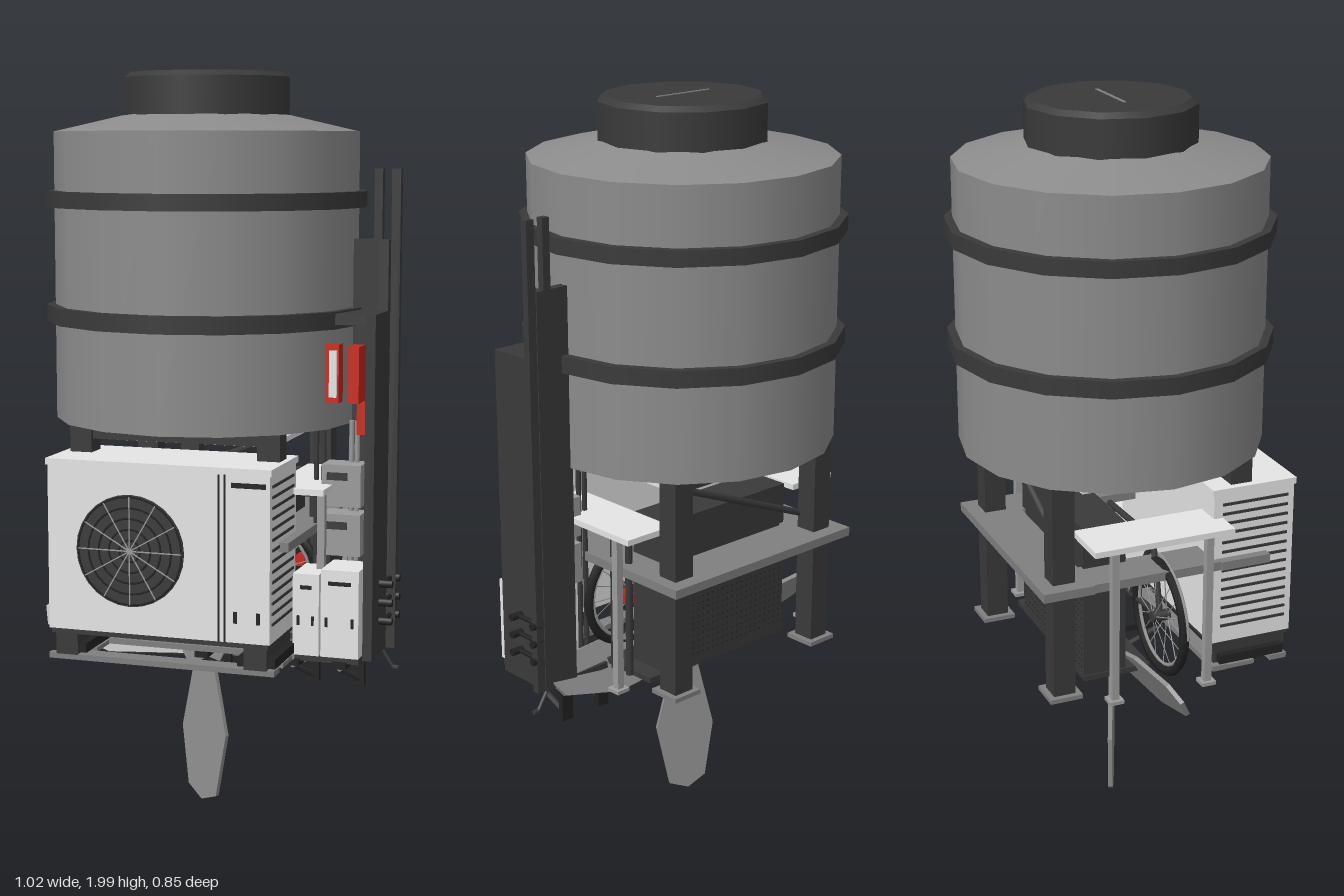
import * as THREE from 'three';

const colours = {
  tankGrey: 0x8c8c8c, darkSteel: 0x3a3a3a, black: 0x222222, casing: 0xe6e6e6,
  beamGrey: 0x808080, boxGrey: 0x9c9c9c, red: 0xc8281c, bladeGrey: 0x909090,
};
const M = {};

export function createModel() {
  for (const [name, color] of Object.entries(colours)) {
    M[name] = new THREE.MeshStandardMaterial({ color });
    M[name].name = name;
  }
  const root = new THREE.Group();
  root.name = 'waterTankUnit';

  const add = (name, geo, mat, x = 0, y = 0, z = 0, parent = root) => {
    const m = new THREE.Mesh(geo, mat);
    m.name = name;
    m.position.set(x, y, z);
    parent.add(m);
    return m;
  };
  // Box given by its extents
  const box = (name, mat, x0, x1, y0, y1, z0, z1) => add(name,
    new THREE.BoxGeometry(x1 - x0, y1 - y0, z1 - z0), mat, (x0 + x1) / 2, (y0 + y1) / 2, (z0 + z1) / 2);
  // Round rod between two points
  const rod = (name, mat, a, b, r, parent = root, sides = 6) => {
    const p = new THREE.Vector3(...a), q = new THREE.Vector3(...b), d = q.clone().sub(p);
    const m = add(name, new THREE.CylinderGeometry(r, r, d.length(), sides), mat, 0, 0, 0, parent);
    m.position.copy(p).add(q).multiplyScalar(0.5);
    m.quaternion.setFromUnitVectors(new THREE.Vector3(0, 1, 0), d.normalize());
    return m;
  };

  // Tank with sloped shoulder, bands and lid
  const cx = -0.025;
  const cyl = (name, mat, r0, r1, y0, y1, sides) =>
    add(name, new THREE.CylinderGeometry(r1, r0, y1 - y0, sides), mat, cx, (y0 + y1) / 2, 0);
  cyl('tankBody', M.tankGrey, 0.405, 0.405, 1.09, 1.845, 16);
  cyl('tankShoulder', M.tankGrey, 0.405, 0.21, 1.845, 1.89, 16);
  cyl('lowerBand', M.darkSteel, 0.427, 0.427, 1.348, 1.393, 16);
  cyl('upperBand', M.darkSteel, 0.427, 0.427, 1.65, 1.692, 16);
  cyl('lid', M.darkSteel, 0.222, 0.222, 1.885, 1.985, 12);
  cyl('lidTop', M.darkSteel, 0.222, 0.205, 1.985, 1.998, 12);
  box('lidHandle', M.beamGrey, -0.115, 0.065, 1.995, 2.0, -0.004, 0.004);

  // Tank legs, feet and shelf ring
  for (const x of [-0.28, 0.23]) for (const z of [-0.25, 0.25]) {
    box('tankLeg', M.darkSteel, x - 0.03, x + 0.03, 0.5, 1.09, z - 0.03, z + 0.03);
    box('legFoot', M.beamGrey, x - 0.045, x + 0.045, 0.49, 0.502, z - 0.045, z + 0.045);
  }
  for (const s of [-1, 1]) {
    box('ringBeam', M.beamGrey, -0.35, 0.295, 0.798, 0.822, s > 0 ? 0.18 : -0.32, s > 0 ? 0.32 : -0.18);
    box('ringSideBeam', M.beamGrey, cx + s * 0.262 - 0.058, cx + s * 0.262 + 0.058, 0.798, 0.822, -0.32, 0.32);
    box('topBeam', M.darkSteel, -0.28, 0.23, 1.055, 1.09, s * 0.25 - 0.02, s * 0.25 + 0.02);
  }
  rod('legBrace', M.darkSteel, [-0.26, 0.86, -0.22], [0.21, 1.05, -0.22], 0.01);
  box('centrePost', M.darkSteel, -0.05, 0, 0.95, 1.09, 0.1, 0.15);

  // Outdoor cooling unit
  box('coolerCase', M.casing, -0.325, 0.27, 0.575, 1.005, 0.165, 0.398);
  box('coolerTop', M.casing, -0.33, 0.275, 1.003, 1.02, 0.16, 0.402);
  box('coolerBase', M.darkSteel, -0.32, 0.265, 0.562, 0.576, 0.17, 0.395);
  for (const x of [0.134, 0.15]) box('coolerSeam', M.black, x, x + 0.005, 0.575, 1.003, 0.39, 0.4);
  box('coolerLabel', M.black, 0.17, 0.26, 0.97, 0.983, 0.392, 0.4);
  for (const x of [0.175, 0.235]) box('coolerLatch', M.black, x, x + 0.01, 0.625, 0.655, 0.392, 0.4);
  for (const x of [-0.31, 0.2]) {
    box('coolerFoot', M.darkSteel, x, x + 0.06, 0.505, 0.565, 0.18, 0.39);
    box('coolerRail', M.black, x - 0.02, x + 0.08, 0.51, 0.535, 0.19, 0.38);
  }
  for (let i = 0; i < 14; i++) {
    const y = 0.62 + i * 0.027;
    box('rightLouvre', M.darkSteel, 0.265, 0.273, y, y + 0.007, 0.19, 0.38);
    box('leftLouvre', M.darkSteel, -0.329, -0.32, y, y + 0.007, 0.19, 0.38);
  }

  // Round fan grille
  const fan = new THREE.Group();
  fan.name = 'fanGrille';
  fan.position.set(-0.1, 0.792, 0.4);
  root.add(fan);
  add('fanDisc', new THREE.CylinderGeometry(0.145, 0.145, 0.008, 28), M.darkSteel, 0, 0, -0.001, fan).rotation.x = Math.PI / 2;
  for (let i = 1; i <= 5; i++)
    add('fanRing', new THREE.TorusGeometry(0.028 * i, 0.0025, 4, 28), M.black, 0, 0, 0.003, fan);
  for (let i = 0; i < 6; i++)
    add('fanSpoke', new THREE.BoxGeometry(0.28, 0.003, 0.003), M.boxGrey, 0, 0, 0.004, fan).rotation.z = i * Math.PI / 6;

  // Ground rails and floors
  box('frontRail', M.beamGrey, -0.33, 0.28, 0.492, 0.507, 0.34, 0.39);
  box('backRail', M.beamGrey, -0.33, 0.28, 0.492, 0.507, 0.17, 0.21);
  box('sideFloor', M.darkSteel, 0.26, 0.45, 0.488, 0.505, -0.01, 0.2);
  box('middleFloor', M.darkSteel, -0.25, 0.25, 0.495, 0.51, -0.17, 0.02);

  // Condenser box behind, with perforated rear face
  box('condenserBox', M.darkSteel, -0.245, 0.2, 0.51, 0.935, -0.17, -0.05);
  const dots = new THREE.InstancedMesh(new THREE.BoxGeometry(0.004, 0.004, 0.002), M.black, 24 * 13);
  dots.name = 'perforations';
  const mat = new THREE.Matrix4();
  for (let i = 0; i < 24; i++) for (let j = 0; j < 13; j++)
    dots.setMatrixAt(i * 13 + j, mat.makeTranslation(-0.23 + i * 0.018, 0.53 + j * 0.018, -0.17));
  root.add(dots);

  // Light side tables over the wheels
  box('leftTable', M.casing, -0.4, -0.25, 0.922, 0.938, -0.2, 0.19);
  box('rightTable', M.casing, 0.2, 0.35, 0.922, 0.938, -0.2, 0.19);
  box('upperShelf', M.casing, -0.24, 0.2, 1.03, 1.045, -0.17, 0.12);
  for (const x of [-0.37, 0.33]) for (const z of [-0.135, 0.13]) {
    box('tablePost', M.boxGrey, x - 0.01, x + 0.01, 0.49, 0.925, z - 0.01, z + 0.01);
    box('postFoot', M.boxGrey, x - 0.02, x + 0.02, 0.488, 0.498, z - 0.02, z + 0.02);
  }

  // Spoked cycle wheels with mudguards
  for (const x of [-0.29, 0.14]) {
    const wheel = new THREE.Group();
    wheel.name = 'wheel';
    wheel.position.set(x, 0.67, 0.03);
    root.add(wheel);
    add('tyre', new THREE.TorusGeometry(0.15, 0.013, 6, 28), M.black, 0, 0, 0, wheel);
    add('rim', new THREE.TorusGeometry(0.133, 0.005, 4, 28), M.boxGrey, 0, 0, 0, wheel);
    add('hub', new THREE.CylinderGeometry(0.016, 0.016, 0.05, 8), M.darkSteel, 0, 0, 0, wheel).rotation.x = Math.PI / 2;
    for (let i = 0; i < 18; i++) {
      const a = i * Math.PI / 9;
      rod('spoke', M.boxGrey, [0, 0, i % 2 ? 0.02 : -0.02], [0.133 * Math.cos(a), 0.133 * Math.sin(a), 0], 0.0015, wheel, 4);
    }
    add('mudguard', new THREE.TorusGeometry(0.175, 0.004, 4, 16, 1.6), M.boxGrey, 0, 0, 0, wheel).rotation.z = 1.5;
  }
  for (const [a, b] of [[[-0.29, 0.67], [-0.1, 0.65]], [[-0.1, 0.65], [0.14, 0.67]], [[-0.24, 0.87], [-0.1, 0.65]],
    [[-0.24, 0.87], [0.05, 0.86]], [[0.05, 0.86], [-0.1, 0.65]], [[-0.29, 0.67], [-0.24, 0.87]]])
    rod('cycleFrame', M.darkSteel, [...a, 0.03], [...b, 0.03], 0.009);

  // Service cabinet: back plate, side plate, hood and masts
  box('cabinetBack', M.darkSteel, 0.37, 0.475, 0.49, 1.57, -0.012, 0.012);
  box('cabinetLip', M.darkSteel, 0.45, 0.475, 1.38, 1.57, -0.012, 0.03);
  box('cabinetSide', M.darkSteel, 0.45, 0.475, 0.49, 1.385, 0, 0.163);
  box('cabinetHood', M.darkSteel, 0.36, 0.475, 1.36, 1.388, 0, 0.163);
  box('mast', M.darkSteel, 0.476, 0.5, 0.49, 1.75, -0.01, 0.01);
  box('innerMast', M.darkSteel, 0.43, 0.452, 0.49, 1.75, -0.012, 0.008);
  for (const y of [0.58, 0.63, 0.68]) {
    rod('mastPeg', M.black, [0.485, y, -0.01], [0.485, y, 0.09], 0.007);
    for (const z of [0, 0.085])
      add('pegDisc', new THREE.CylinderGeometry(0.01, 0.01, 0.04, 8), M.black, 0.49, y, z).rotation.z = Math.PI / 2;
  }
  rod('hookArm', M.darkSteel, [0.46, 0.49, 0], [0.495, 0.435, 0], 0.005);
  rod('hookTip', M.darkSteel, [0.495, 0.435, 0], [0.51, 0.435, 0], 0.007);

  // Red and light control boxes near the cabinet mouth
  box('redPanel', M.red, 0.345, 0.38, 1.16, 1.31, 0.12, 0.162);
  box('lightPanel', M.casing, 0.356, 0.376, 1.175, 1.295, 0.15, 0.17);
  box('redCase', M.red, 0.402, 0.432, 1.16, 1.305, 0.09, 0.16);
  box('redLowerCase', M.red, 0.41, 0.437, 1.07, 1.15, 0.02, 0.09);
  box('redValve', M.red, 0.215, 0.24, 0.685, 0.715, -0.07, -0.03);

  // Meter boxes and pipes
  for (const [y0, y1] of [[0.75, 0.86], [0.88, 0.99]]) {
    box('meterBox', M.boxGrey, 0.32, 0.425, y0, y1, 0.02, 0.1);
    box('meterWindow', M.darkSteel, 0.335, 0.39, y1 - 0.04, y1 - 0.02, 0.095, 0.103);
  }
  for (const x of [0.29, 0.31]) rod('darkPipe', M.darkSteel, [x, 0.5, 0.04], [x, 1.1, 0.04], 0.007);
  for (const x of [0.385, 0.4]) rod('lightPipe', M.boxGrey, [x, 0.5, 0.04], [x, 1.1, 0.04], 0.007);
  for (const z of [-0.04, -0.1]) rod('rearPipe', M.darkSteel, [0.26, 0.5, z], [0.26, 0.92, z], 0.01);

  // Low white cabinets
  for (const [x0, x1, y1] of [[0.275, 0.345, 0.72], [0.35, 0.45, 0.735]]) {
    box('lowCabinet', M.casing, x0, x1, 0.505, y1, 0.08, 0.208);
    box('cabinetVent', M.black, x0 + 0.02, x1 - 0.02, y1 - 0.04, y1 - 0.03, 0.203, 0.211);
    for (const x of [x0 + 0.012, x1 - 0.02]) box('cabinetLatch', M.black, x, x + 0.007, 0.585, 0.61, 0.203, 0.211);
  }

  // Triangular brackets under the floor
  for (const x of [0.025, 0.275, 0.4]) {
    box('bracketPost', M.black, x - 0.018, x + 0.018, 0.38, 0.49, -0.008, 0.008);
    box('bracketArm', M.black, x - 0.018, x + 0.018, 0.475, 0.493, 0, 0.21);
    rod('bracketStrut', M.darkSteel, [x, 0.395, 0], [x, 0.475, 0.2], 0.008);
  }

  // Three-bladed propeller
  const prop = new THREE.Group();
  prop.name = 'propeller';
  prop.position.set(-0.033, 0.45, 0);
  root.add(prop);
  const outline = [[-0.03, 0], [-0.04, -0.06], [-0.083, -0.24], [-0.06, -0.405], [-0.01, -0.44],
    [0.045, -0.42], [0.083, -0.24], [0.04, -0.06], [0.03, 0]];
  const blade = new THREE.ExtrudeGeometry(new THREE.Shape(outline.map(p => new THREE.Vector2(...p))),
    { depth: 0.012, bevelEnabled: false }).translate(0, 0, -0.006).rotateY(-0.45);
  for (const [a, len] of [[0, 1], [-1.71, 1.09], [1.71, 1.12]]) {
    const b = add('blade', blade, M.bladeGrey, 0, 0, 0, prop);
    b.rotation.z = a;
    b.scale.set(a ? 0.9 : 1, len, 1);
  }
  add('propellerHub', new THREE.CylinderGeometry(0.06, 0.06, 0.045, 14), M.bladeGrey, 0, 0, 0, prop).rotation.x = Math.PI / 2;

  return root;
}
